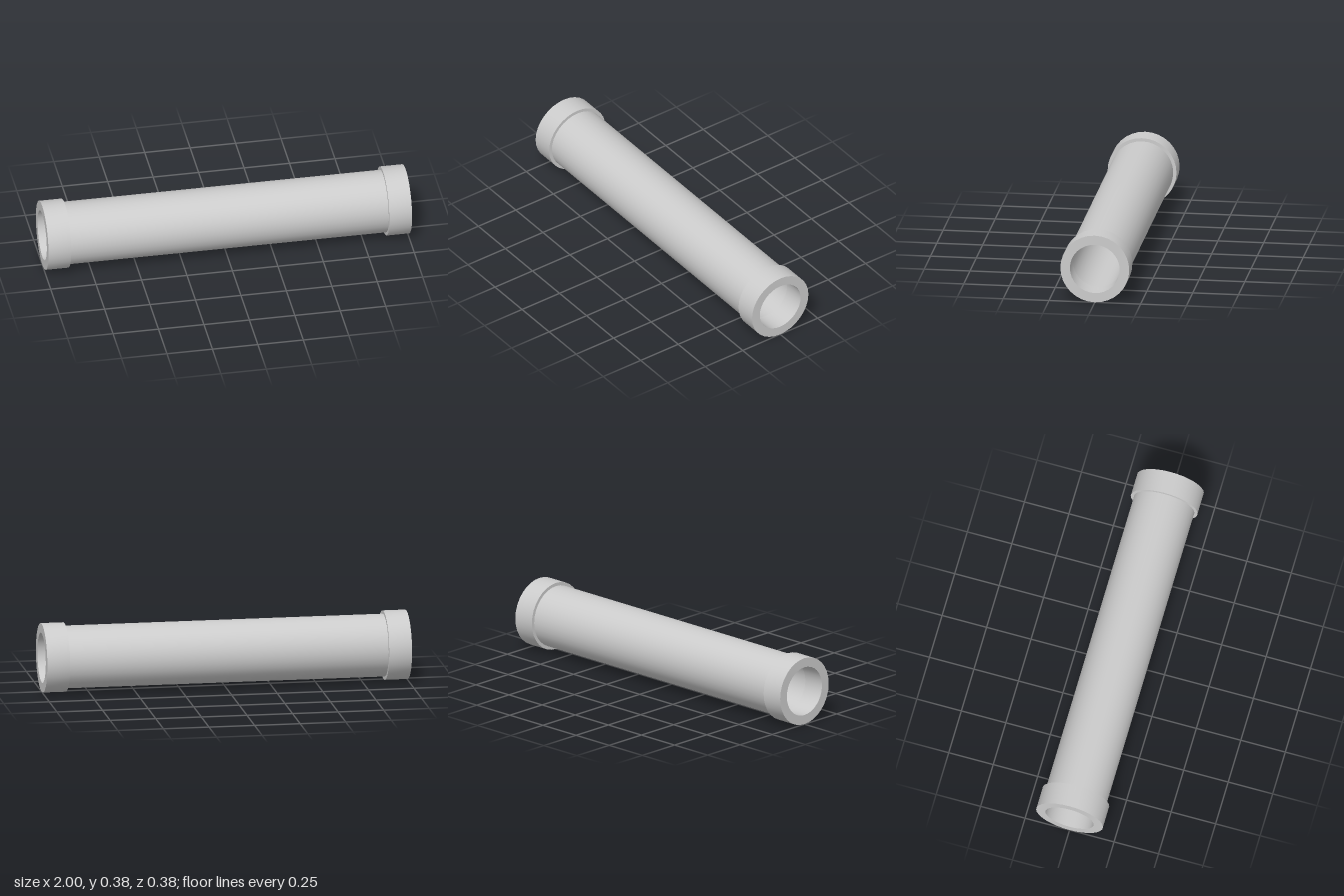
import * as THREE from 'three';
import { toCreasedNormals } from 'three/addons/utils/BufferGeometryUtils.js';

const SIDES = 32;
const BORE = 0.136, PIPE = 0.17, COLLAR = 0.188;
const END = 1, SHOULDER = 0.875;

export function createModel() {
  const group = new THREE.Group();
  group.name = 'flangedPipe';
  const material = new THREE.MeshStandardMaterial({ color: 0xcccccc });

  // Turns a [radius, position] profile around the x axis, with sharp rims
  const turn = (name, profile) => {
    const points = profile.map(([r, t]) => new THREE.Vector2(r, t));
    const geometry = new THREE.LatheGeometry(points, SIDES).rotateZ(-Math.PI / 2);
    const mesh = new THREE.Mesh(toCreasedNormals(geometry, 0.6), material);
    mesh.name = name;
    mesh.position.y = COLLAR;
    group.add(mesh);
    return mesh;
  };

  // Pipe between the collars: outer wall and bore
  turn('pipeOuterWall', [[PIPE, -SHOULDER], [PIPE, SHOULDER]]);
  turn('pipeBore', [[BORE, SHOULDER], [BORE, -SHOULDER]]);

  // Raised end collars: shoulder, rim, end face and bore
  const collar = [[PIPE, SHOULDER], [COLLAR, SHOULDER], [COLLAR, END], [BORE, END], [BORE, SHOULDER]];
  turn('leftCollar', collar);
  turn('rightCollar', collar).rotation.y = Math.PI;

  return group;
}
